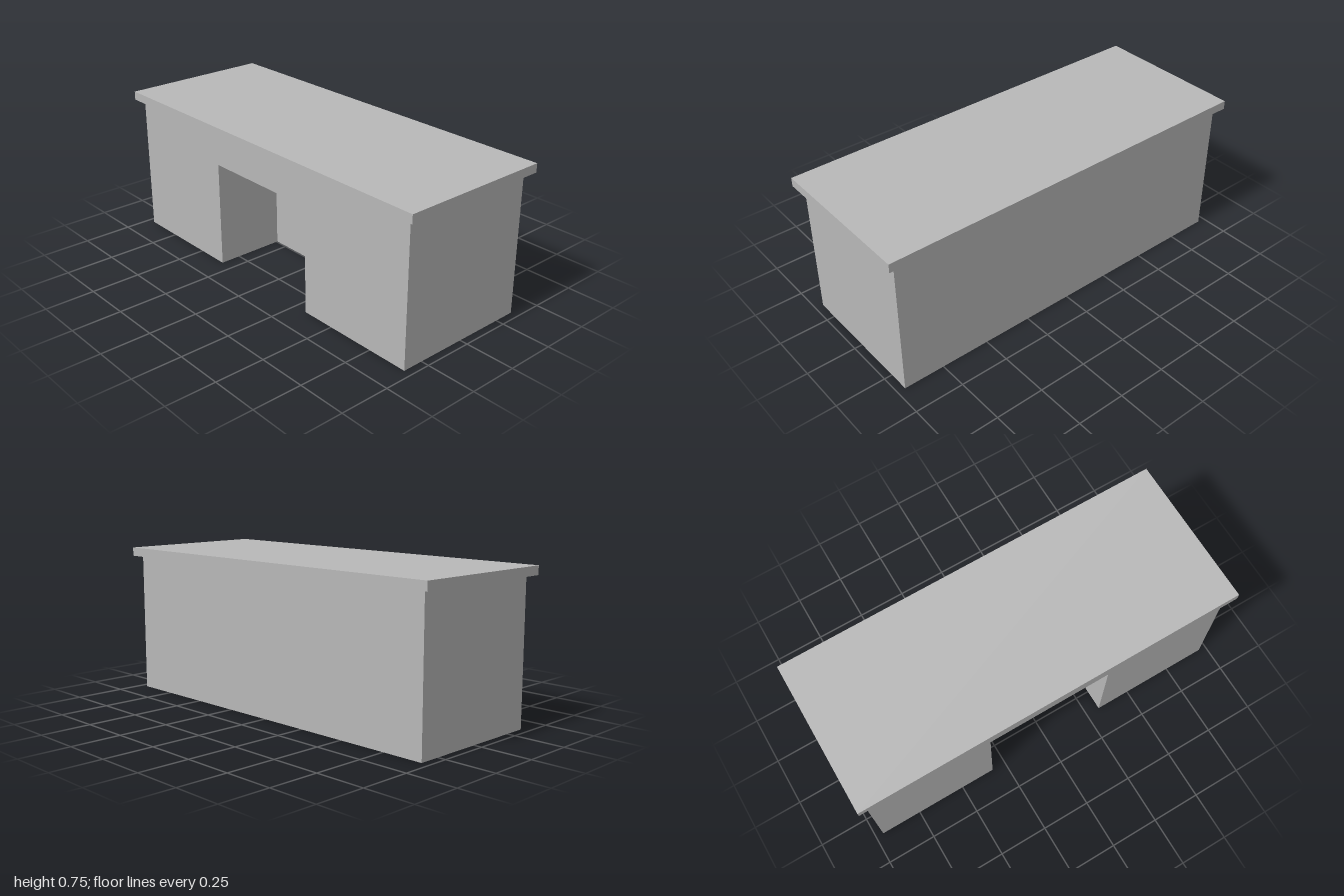
import * as THREE from 'three';

export function createModel() {
  const desk = new THREE.Group();
  desk.name = 'desk';
  const grey = new THREE.MeshStandardMaterial({ color: 0xb8b8b8, side: THREE.DoubleSide });
  grey.name = 'grey';

  const X = 0.96, Z = 0.356, H = 0.711; // body half width, half depth, height
  const kx = 0.323, ky = 0.54, kz = -0.005; // kneehole half width, height, back
  const top = 0.755;

  function add(name, geometry, x, y, z, rx = 0, ry = 0) {
    const mesh = new THREE.Mesh(geometry, grey);
    mesh.name = name;
    mesh.position.set(x, y, z);
    mesh.rotation.set(rx, ry, 0);
    desk.add(mesh);
  }
  const sheet = (w, h) => new THREE.PlaneGeometry(w, h);

  // Overhanging worktop
  add('worktop', new THREE.BoxGeometry(2, top - H, 0.78), 0, (top + H) / 2, 0);

  // Front face with the kneehole cut out
  const front = new THREE.Shape([
    [-X, 0], [-kx, 0], [-kx, ky], [kx, ky], [kx, 0], [X, 0], [X, H], [-X, H],
  ].map(([x, y]) => new THREE.Vector2(x, y)));
  add('frontPanel', new THREE.ShapeGeometry(front), 0, 0, Z);

  add('backPanel', sheet(2 * X, H), 0, H / 2, -Z, 0, Math.PI);

  // Mirrored pedestals: outer side, bottom and kneehole wall
  const depth = Z - kz;
  for (const s of [1, -1]) {
    const side = s > 0 ? 'left' : 'right';
    add(side + 'Side', sheet(2 * Z, H), s * X, H / 2, 0, 0, s * Math.PI / 2);
    add(side + 'PedestalBottom', sheet(X - kx, 2 * Z), s * (X + kx) / 2, 0, 0, Math.PI / 2);
    add(side + 'KneeholeWall', sheet(depth, ky), s * kx, ky / 2, (Z + kz) / 2, 0, -s * Math.PI / 2);
  }

  // Kneehole back and ceiling; the cavity behind stays open below
  add('kneeholeBack', sheet(2 * kx, ky), 0, ky / 2, kz);
  add('kneeholeCeiling', sheet(2 * kx, depth), 0, ky, (Z + kz) / 2, Math.PI / 2);

  return desk;
}
